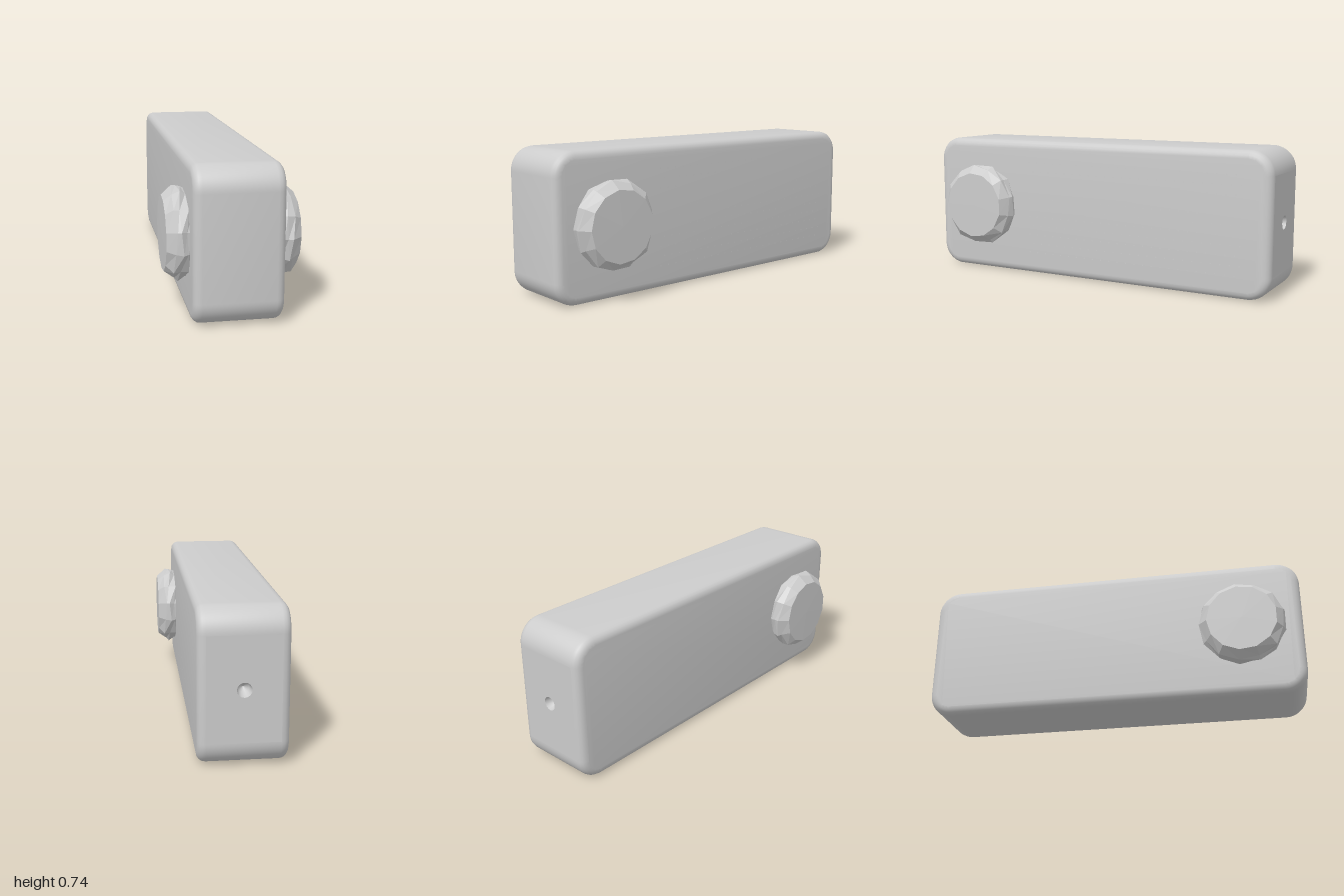
import * as THREE from 'three';
import { mergeGeometries, toCreasedNormals } from 'three/addons/utils/BufferGeometryUtils.js';

const W = 0.42, H = 0.74, L = 2, R = 0.12, BEVEL = 0.04;
const SOCKET_Y = 0.37, SOCKET_R = 0.035;

// Rounded slab, extruded across its width, with the flat back wall left open
function bodyGeometry() {
  const s = new THREE.Shape(), a = L / 2;
  s.moveTo(-a + R, 0);
  s.lineTo(a - R, 0);
  s.absarc(a - R, R, R, -Math.PI / 2, 0);
  s.lineTo(a, H - R);
  s.absarc(a - R, H - R, R, 0, Math.PI / 2);
  s.lineTo(-a + R, H);
  s.absarc(-a + R, H - R, R, Math.PI / 2, Math.PI);
  s.lineTo(-a, R);
  s.absarc(-a + R, R, R, Math.PI, Math.PI * 1.5);
  const depth = W - 2 * BEVEL;
  const ext = new THREE.ExtrudeGeometry(s, {
    depth, curveSegments: 7, bevelEnabled: true, bevelSegments: 4,
    bevelSize: BEVEL, bevelThickness: BEVEL, bevelOffset: -BEVEL,
  });
  ext.translate(0, 0, -depth / 2).rotateY(Math.PI / 2);
  const geo = toCreasedNormals(ext, 0.7);
  const p = geo.attributes.position, keep = [];
  for (let i = 0; i < p.count; i += 3) {
    const onBack = [0, 1, 2].every((k) => p.getZ(i + k) < -a + 1e-4);
    if (!onBack) keep.push(i, i + 1, i + 2);
  }
  geo.setIndex(keep);
  return geo;
}

// Flat back wall with a round opening
function backWallGeometry() {
  const w = W / 2 - BEVEL;
  const s = new THREE.Shape([
    new THREE.Vector2(-w, R), new THREE.Vector2(w, R),
    new THREE.Vector2(w, H - R), new THREE.Vector2(-w, H - R),
  ]);
  s.holes.push(new THREE.Path().absarc(0, SOCKET_Y, SOCKET_R, 0, Math.PI * 2, true));
  return new THREE.ShapeGeometry(s, 8).rotateY(Math.PI).translate(0, 0, -L / 2);
}

// Small recessed socket behind the opening
function socketGeometry() {
  const pts = [[SOCKET_R, 0], [0.025, 0.04], [0, 0.06]].map(([r, y]) => new THREE.Vector2(r, y));
  return new THREE.LatheGeometry(pts, 16).rotateX(Math.PI / 2).translate(0, SOCKET_Y, -L / 2);
}

// Faceted, slightly uneven wheel; its axis points outward along +x
function knobGeometry() {
  const profile = [[0.2, 0.19], [0.215, 0.215], [0.224, 0.245], [0.217, 0.272], [0.18, 0.313], [0, 0.315]];
  const geo = new THREE.LatheGeometry(profile.map(([r, y]) => new THREE.Vector2(r, y)), 13);
  const p = geo.attributes.position;
  for (let i = 0; i < p.count; i++) {
    const x = p.getX(i), y = p.getY(i), z = p.getZ(i);
    const t = Math.atan2(z, x);
    const rim = y > 0.2 && y < 0.3 ? 1 : 0;
    const k = 1 + rim * 0.03 * Math.sin(5 * t + y * 90);
    p.setXYZ(i, x * k, y + rim * 0.008 * Math.cos(4 * t + y * 60), z * k);
  }
  return geo.rotateZ(-Math.PI / 2);
}

// Staggered grid of tiny speaker perforations on the +x side
function grilleGeometry() {
  const dots = [];
  for (let row = 0; row < 11; row++) {
    for (let col = 0; col < 25; col++) {
      const z = 0.38 - col * 0.05 - (row % 2) * 0.025;
      dots.push(new THREE.CircleGeometry(0.004, 6).rotateY(Math.PI / 2)
        .translate(W / 2 + 0.001, 0.12 + row * 0.05, z));
    }
  }
  return mergeGeometries(dots);
}

export function createModel() {
  const group = new THREE.Group();
  const grey = new THREE.MeshStandardMaterial({ color: 0xcccccc, side: THREE.DoubleSide });
  grey.name = 'light grey';
  const facetedGrey = grey.clone();
  facetedGrey.flatShading = true;

  const add = (name, geometry, material = grey) => {
    const mesh = new THREE.Mesh(geometry, material);
    mesh.name = name;
    group.add(mesh);
    return mesh;
  };

  add('body', bodyGeometry());
  add('backWall', backWallGeometry());
  add('socket', socketGeometry());
  add('speakerGrille', grilleGeometry());

  // One wheel on each side near the front
  for (const side of [1, -1]) {
    const knob = add(side > 0 ? 'leftKnob' : 'rightKnob', knobGeometry(), facetedGrey);
    knob.position.set(0, 0.375, 0.69);
    if (side < 0) knob.rotation.y = Math.PI;
  }
  return group;
}
